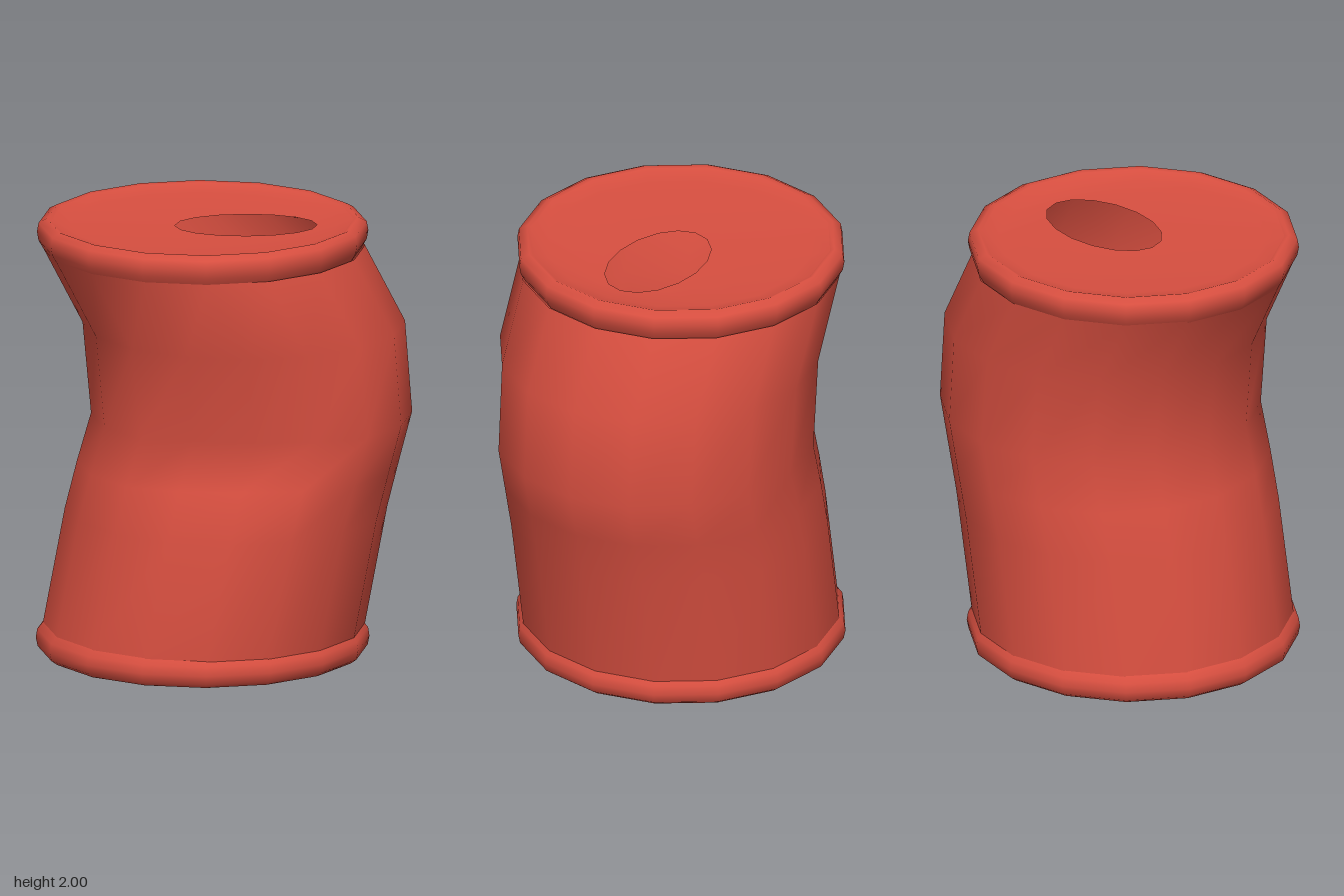
import * as THREE from 'three';

const SIDES = 16;

// Skins a stack of rings, ordered upward on the outside, with smooth normals.
// Ring: { y, r, cx, rz?, shape? }; shape(k, p) may move corner k (k = 4 faces front).
function loft(name, rings, material) {
  const positions = [], index = [];
  rings.forEach(({ y, r, cx = -0.1, rz = r, dent = {} }) => {
    for (let k = 0; k < SIDES; k++) {
      const a = (k / SIDES) * Math.PI * 2;
      positions.push(cx + r * Math.cos(a), y, dent[k] ?? rz * Math.sin(a));
    }
  });
  for (let j = 0; j < rings.length - 1; j++) {
    for (let k = 0; k < SIDES; k++) {
      const a = j * SIDES + k, b = j * SIDES + (k + 1) % SIDES;
      const c = a + SIDES, d = b + SIDES;
      index.push(a, c, b, b, c, d);
    }
  }
  const geometry = new THREE.BufferGeometry();
  geometry.setAttribute('position', new THREE.Float32BufferAttribute(positions, 3));
  geometry.setIndex(index);
  geometry.computeVertexNormals();
  const mesh = new THREE.Mesh(geometry, material);
  mesh.name = name;
  return mesh;
}

export function createModel() {
  const group = new THREE.Group();
  group.name = 'crushedCan';
  const red = new THREE.MeshStandardMaterial({ color: 0xd84f40, side: THREE.DoubleSide });

  // Buckled wall: rings slide sideways, with a dent pressed into the front
  group.add(loft('body', [
    { y: 0.12, r: 0.725, cx: -0.095 },
    { y: 0.66, r: 0.725, cx: 0.005 },
    { y: 0.88, r: 0.725, cx: 0.06, dent: { 3: 0.61, 4: 0.63, 5: 0.6 } },
    { y: 1.1, r: 0.722, cx: 0.12, dent: { 3: 0.57, 4: 0.585, 5: 0.54 } },
    { y: 1.52, r: 0.725, cx: 0.085 },
    { y: 1.87, r: 0.725, cx: -0.095 },
  ], red));

  // Rolled rims
  group.add(loft('bottomRim', [
    { y: 0.01, r: 0.69 },
    { y: 0, r: 0.715 },
    { y: 0.02, r: 0.742 },
    { y: 0.06, r: 0.75 },
    { y: 0.1, r: 0.744 },
    { y: 0.135, r: 0.715 },
  ], red));
  group.add(loft('topRim', [
    { y: 1.86, r: 0.715 },
    { y: 1.9, r: 0.738 },
    { y: 1.94, r: 0.745 },
    { y: 1.98, r: 0.738 },
    { y: 2, r: 0.7 },
    { y: 1.992, r: 0.68 },
  ], red));

  // Hollow base
  group.add(loft('base', [
    { y: 0.09, r: 0 },
    { y: 0.085, r: 0.3 },
    { y: 0.06, r: 0.55 },
    { y: 0.01, r: 0.69 },
  ], red));

  // Shallow lid, open at an oval drinking hole
  group.add(loft('lid', [
    { y: 1.992, r: 0.68 },
    { y: 1.97, r: 0.6, cx: -0.09 },
    { y: 1.965, r: 0.32, rz: 0.2, cx: 0.095 },
  ], red));

  return group;
}
